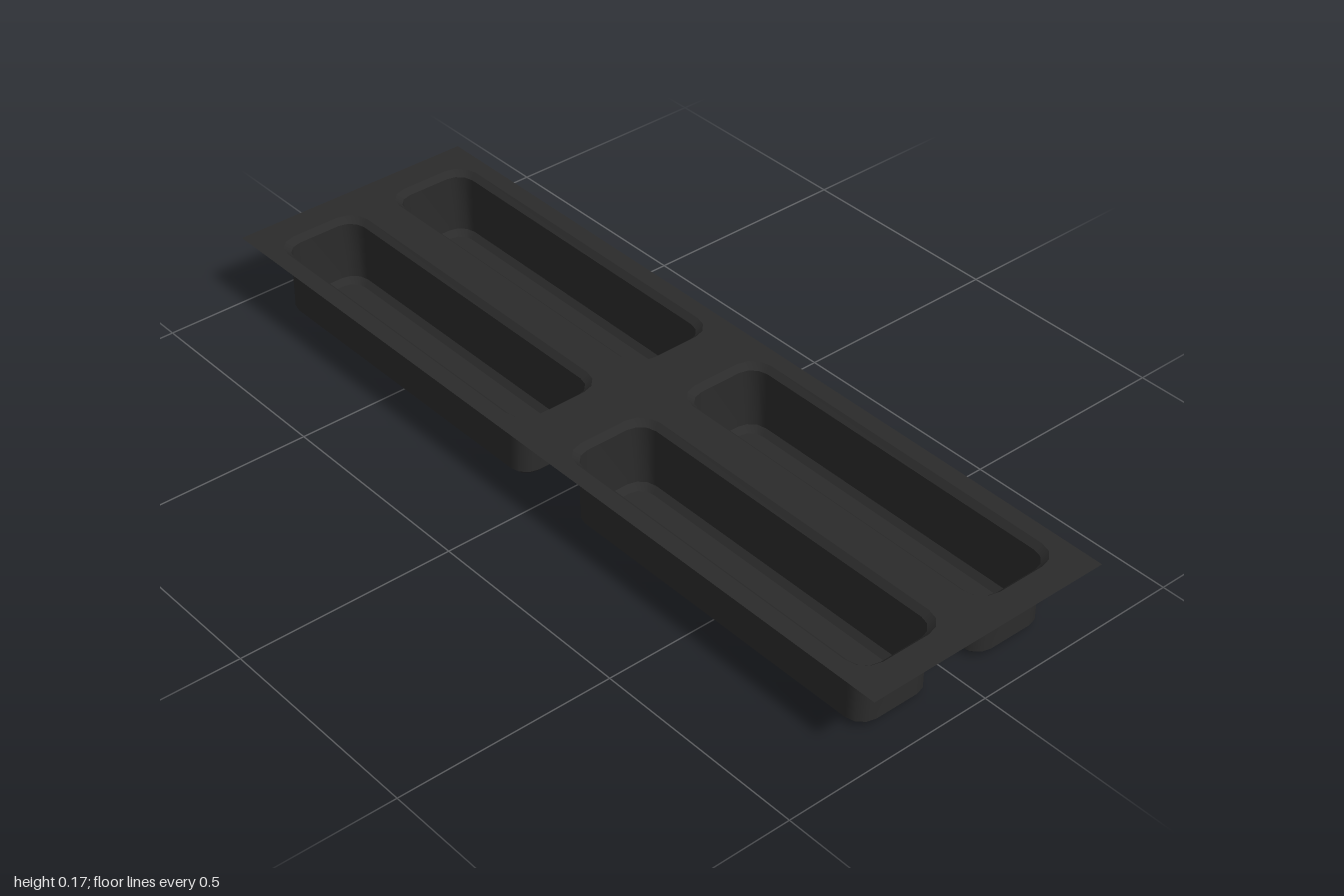
import * as THREE from 'three';

const HEIGHT = 0.165;
// Pan profile from rim to floor: half width, half depth, corner radius, height
const RINGS = [
  [0.433, 0.108, 0.05, HEIGHT],
  [0.42, 0.0945, 0.042, 0.152],
  [0.42, 0.0945, 0.042, 0.013],
  [0.407, 0.0815, 0.034, 0],
];

// Rounded rectangle outline, counter-clockwise
function outline([hx, hz, r], cx = 0, cy = 0, segments = 3) {
  const points = [];
  [[1, 1], [-1, 1], [-1, -1], [1, -1]].forEach(([sx, sy], corner) => {
    for (let i = 0; i <= segments; i++) {
      const a = (corner + i / segments) * Math.PI / 2;
      points.push(new THREE.Vector2(
        cx + sx * (hx - r) + r * Math.cos(a),
        cy + sy * (hz - r) + r * Math.sin(a)));
    }
  });
  return points;
}

// Wall strip between two rings, smooth around its corners, facing inward
function bandGeometry(upper, lower) {
  const positions = [], index = [];
  for (const ring of [upper, lower]) {
    for (const p of outline(ring)) positions.push(p.x, ring[3], -p.y);
  }
  const n = positions.length / 6;
  for (let i = 0; i < n; i++) {
    const j = (i + 1) % n;
    index.push(i, j, n + i, j, n + j, n + i);
  }
  const geometry = new THREE.BufferGeometry();
  geometry.setAttribute('position', new THREE.Float32BufferAttribute(positions, 3));
  geometry.setIndex(index);
  geometry.computeVertexNormals();
  return geometry;
}

export function createModel() {
  const model = new THREE.Group();
  model.name = 'loafPanTray';
  const darkMetal = new THREE.MeshStandardMaterial({ color: 0x2b2b2b, side: THREE.DoubleSide });
  darkMetal.name = 'dark metal';

  const add = (parent, geometry, name) => {
    const mesh = new THREE.Mesh(geometry, darkMetal);
    mesh.name = name;
    parent.add(mesh);
  };

  // Thin top sheet with an opening for each pan
  const sheet = new THREE.Shape([[-1, -0.3], [1, -0.3], [1, 0.3], [-1, 0.3]]
    .map(([x, y]) => new THREE.Vector2(x, y)));

  // Shared pan surfaces
  const bands = ['rim', 'wall', 'bottomBevel'].map((name, i) =>
    [bandGeometry(RINGS[i], RINGS[i + 1]), name]);
  const floor = new THREE.ShapeGeometry(new THREE.Shape(outline(RINGS[3])));
  floor.rotateX(-Math.PI / 2);

  for (const x of [-0.498, 0.498]) {
    for (const z of [-0.152, 0.152]) {
      sheet.holes.push(new THREE.Path(outline(RINGS[0], x, -z).reverse()));
      const pan = new THREE.Group();
      pan.name = (z > 0 ? 'front' : 'back') + (x > 0 ? 'Left' : 'Right') + 'Pan';
      pan.position.set(x, 0, z);
      for (const [geometry, name] of bands) add(pan, geometry, name);
      add(pan, floor, 'floor');
      model.add(pan);
    }
  }

  const top = new THREE.ShapeGeometry(sheet);
  top.rotateX(-Math.PI / 2);
  top.translate(0, HEIGHT, 0);
  add(model, top, 'topSheet');
  return model;
}
